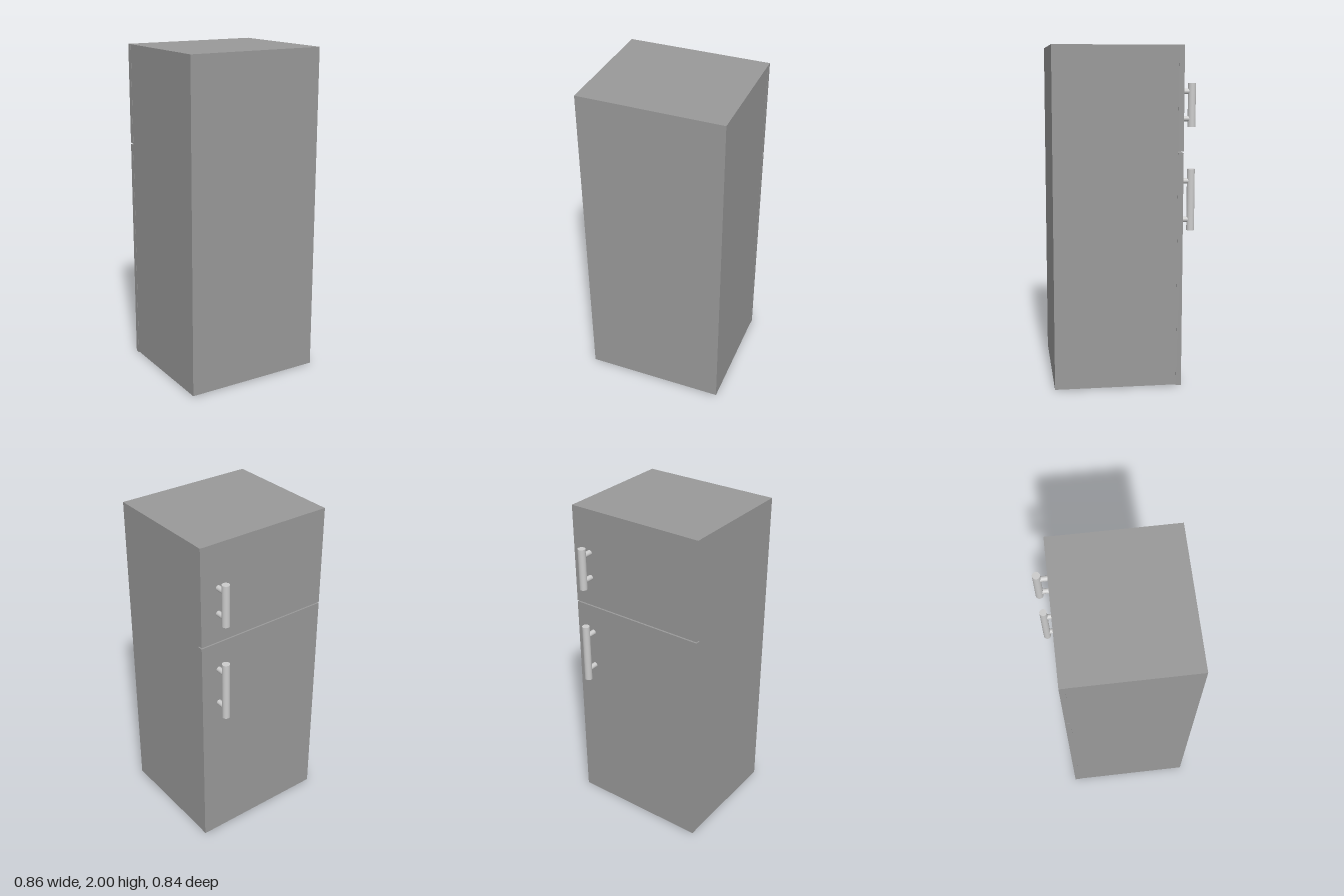
import * as THREE from 'three';

const bodyMaterial = new THREE.MeshStandardMaterial({ color: 0x999999 });
const handleMaterial = new THREE.MeshStandardMaterial({ color: 0xcccccc });

// Box given by its limits in y and z, centred on x
function slab(name, width, y0, y1, z0, z1) {
  const mesh = new THREE.Mesh(new THREE.BoxGeometry(width, y1 - y0, z1 - z0), bodyMaterial);
  mesh.position.set(0, (y0 + y1) / 2, (z0 + z1) / 2);
  mesh.name = name;
  return mesh;
}

// Upright round bar held off the door by two short posts
function handle(name, y0, y1, postHeights) {
  const group = new THREE.Group();
  group.name = name;
  group.position.set(0.315, 0, 0);

  const bar = new THREE.Mesh(new THREE.CylinderGeometry(0.023, 0.023, y1 - y0, 32), handleMaterial);
  bar.name = 'handleBar';
  bar.position.set(0, (y0 + y1) / 2, -0.4);
  group.add(bar);

  for (const y of postHeights) {
    const post = new THREE.Mesh(new THREE.CylinderGeometry(0.016, 0.016, 0.07, 24), handleMaterial);
    post.name = 'handlePost';
    post.rotation.x = Math.PI / 2;
    post.position.set(0, y, -0.365);
    group.add(post);
  }
  return group;
}

export function createModel() {
  const model = new THREE.Group();
  model.name = 'refrigerator';

  // Cabinet, with the two doors on its -z side and a narrow gap between them
  model.add(slab('cabinet', 0.858, 0.005, 2, -0.3, 0.42));
  model.add(slab('lowerDoor', 0.86, 0, 1.39, -0.332, -0.3));
  model.add(slab('upperDoor', 0.86, 1.398, 2, -0.332, -0.3));

  // Handles
  model.add(handle('lowerHandle', 0.92, 1.285, [0.985, 1.215]));
  model.add(handle('upperHandle', 1.532, 1.785, [1.58, 1.737]));
  return model;
}
